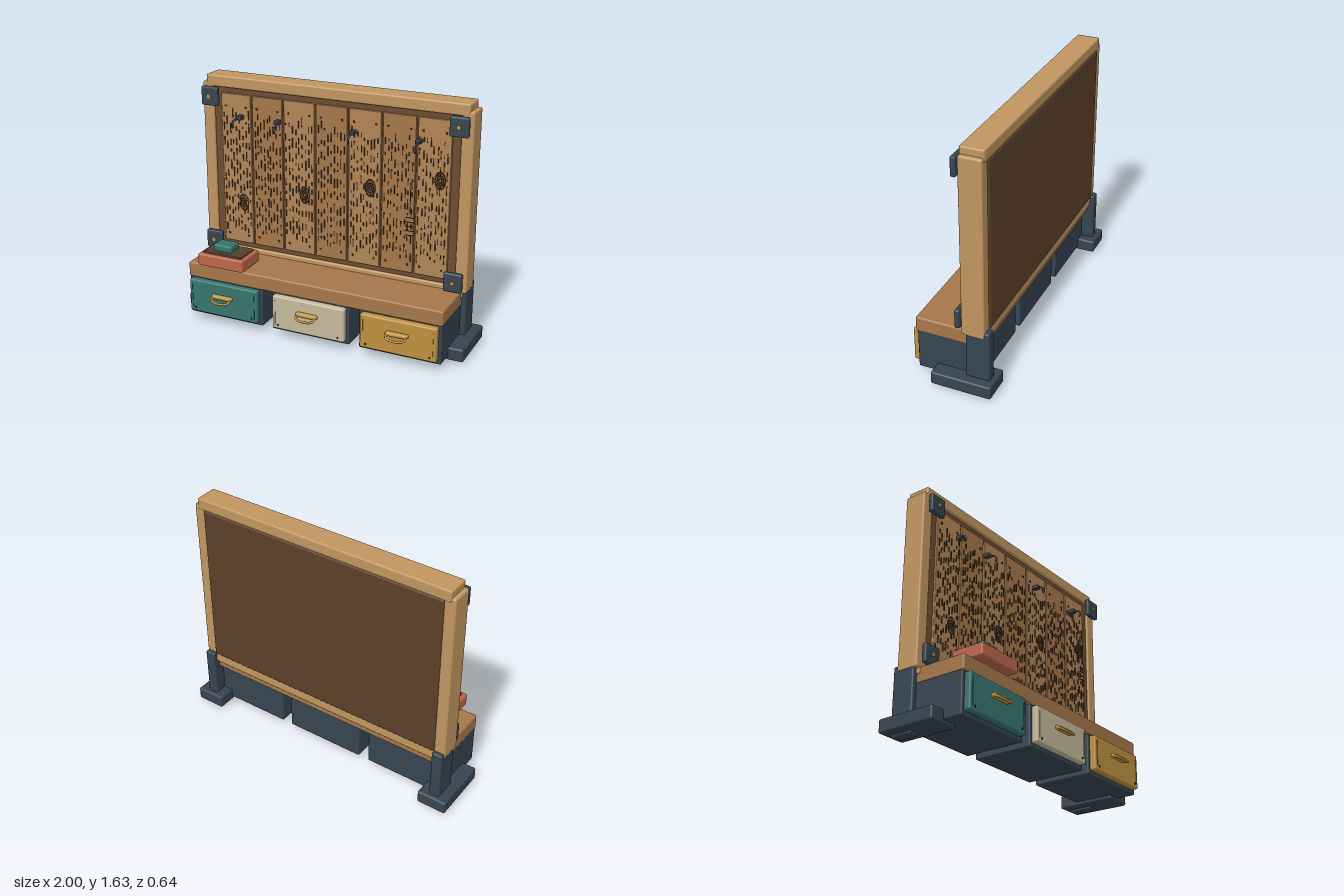
import * as THREE from 'three';
import { mergeGeometries } from 'three/addons/utils/BufferGeometryUtils.js';
import { RoundedBoxGeometry } from 'three/addons/geometries/RoundedBoxGeometry.js';

const mat = (color) => new THREE.MeshStandardMaterial({ color });
const M = {
  oak: mat(0xc0955f), plankA: mat(0xb18455), plankB: mat(0xa5774a), bench: mat(0xa5774a),
  liner: mat(0x6e4b30), back: mat(0x5c4028), mark: mat(0x4a3320), iron: mat(0x364450),
  brass: mat(0xc0933f), teal: mat(0x37756e), cream: mat(0xc4b99b), gold: mat(0xbd9040),
  red: mat(0xbc664b), inlay: mat(0x54402e),
};

function add(parent, name, geometry, material) {
  const mesh = new THREE.Mesh(geometry, material);
  mesh.name = name;
  parent.add(mesh);
  return mesh;
}

// Rounded block given by its limits on each axis
function block(parent, name, [x0, x1], [y0, y1], [z0, z1], material, r = 0.012) {
  const g = new RoundedBoxGeometry(x1 - x0, y1 - y0, z1 - z0, 2, r);
  g.translate((x0 + x1) / 2, (y0 + y1) / 2, (z0 + z1) / 2);
  return add(parent, name, g, material);
}

function tube(points, radius, segments = 16) {
  const curve = new THREE.CatmullRomCurve3(points.map((p) => new THREE.Vector3(...p)));
  return new THREE.TubeGeometry(curve, segments, radius, 8);
}

const thinBox = (w, h, d, x, y, z) => new THREE.BoxGeometry(w, h, d).translate(x, y, z);

function seeded(seed) {
  return () => (seed = (seed * 16807) % 2147483647) / 2147483647;
}

function buildFrame(root) {
  const g = new THREE.Group();
  g.name = 'frame';
  root.add(g);
  const depth = [-0.255, -0.105];
  for (const s of [-1, 1]) {
    const a = s * 0.9;
    block(g, 'post', [a - 0.04, a + 0.04], [0.4, 1.58], depth, M.oak);
  }
  block(g, 'topRail', [-0.912, 0.912], [1.55, 1.628], [-0.26, -0.104], M.oak);
  block(g, 'bottomRail', [-0.912, 0.912], [0.363, 0.442], depth, M.oak);
  block(g, 'backPanel', [-0.87, 0.87], [0.43, 1.56], [-0.266, -0.2], M.back, 0.02);
  block(g, 'liner', [-0.865, 0.865], [0.43, 1.56], [-0.21, -0.122], M.liner, 0.005);
}

function buildPlanks(root) {
  const g = new THREE.Group();
  g.name = 'plankWall';
  root.add(g);
  const rand = seeded(4711), grain = [], pitch = 0.2315;
  for (let i = 0; i < 7; i++) {
    const cx = (i - 3) * pitch;
    block(g, 'plank', [cx - 0.11, cx + 0.11], [0.475, 1.513], [-0.14, -0.108], i % 2 ? M.plankB : M.plankA, 0.005);
    // Broken vertical grain lines
    for (let c = 0; c < 9; c++) {
      let y = 0.55 + rand() * 0.08;
      const x = cx - 0.092 + c * 0.023 + (rand() - 0.5) * 0.008;
      while (y < 1.36) {
        const len = 0.012 + rand() * 0.055;
        grain.push(thinBox(0.006, len, 0.008, x, y + len / 2, -0.106));
        y += len + 0.02 + rand() * 0.06;
      }
    }
    // Nail heads near the plank ends
    for (const dx of [-0.075, 0.075]) for (const y of [0.53, 1.43]) {
      grain.push(thinBox(0.012, 0.012, 0.008, cx + dx, y, -0.106));
    }
  }
  // Knots on every second plank, rising to the right
  [[-0.65, 0.77], [-0.19, 0.89], [0.275, 1.01], [0.74, 1.125]].forEach(([x, y]) => {
    for (const k of [1, 0.62, 0.3]) {
      grain.push(new THREE.TorusGeometry(0.034 * k, 0.0035, 4, 14).scale(1, 1.6, 1).translate(x, y, -0.104));
    }
  });
  // Small ladder of scratch marks standing off the wall
  for (let i = 0; i < 5; i++) grain.push(thinBox(0.056, 0.005, 0.004, 0.593, 0.785 + i * 0.029, 0.018));
  grain.push(thinBox(0.004, 0.2, 0.004, 0.595, 1.03, 0.018));
  add(g, 'grainMarks', mergeGeometries(grain.map((q) => q.toNonIndexed())), M.mark);
}

function buildCornerPlates(root) {
  for (const s of [-1, 1]) for (const y of [0.483, 1.493]) {
    const x = s * 0.862;
    block(root, 'cornerPlate', [x - 0.061, x + 0.061], [y - 0.063, y + 0.063], [-0.086, -0.052], M.iron, 0.01);
    const bolt = add(root, 'cornerBolt', new THREE.CylinderGeometry(0.014, 0.014, 0.012, 12), M.brass);
    bolt.rotation.x = Math.PI / 2;
    bolt.position.set(x, y, -0.05);
  }
}

function buildHooks(root) {
  [[-0.64, -0.022], [-0.365, 0.01], [0.167, -0.002], [0.608, -0.002]].forEach(([x, dx]) => {
    const g = new THREE.Group();
    g.name = 'hook';
    block(g, 'hookPlate', [x - 0.018, x + 0.018], [1.358, 1.387], [-0.087, -0.042], M.iron, 0.005);
    const h = x + dx;
    add(g, 'hookArm', tube([[x + dx * 0.6, 1.365, -0.05], [h, 1.362, -0.025], [h, 1.35, -0.004],
      [h, 1.334, 0.004], [h, 1.321, -0.001], [h, 1.315, -0.008]], 0.0065), M.iron);
    root.add(g);
  });
}

function buildDrawers(root) {
  [[-0.627, M.teal], [0, M.cream], [0.623, M.gold]].forEach(([x, color]) => {
    const g = new THREE.Group();
    g.name = 'drawer';
    g.position.x = x;
    root.add(g);
    block(g, 'drawerBox', [-0.277, 0.277], [0.043, 0.315], [-0.2, 0.208], M.iron, 0.008);
    block(g, 'drawerFront', [-0.257, 0.257], [0.07, 0.303], [0.2, 0.25], color);
    // Worn lines and pins beside the edges
    for (const s of [-1, 1]) {
      add(g, 'edgeLine', thinBox(0.004, 0.17, 0.004, s * 0.235, 0.185, 0.252), color);
      add(g, 'edgePin', thinBox(0.009, 0.012, 0.008, s * 0.215, 0.1, 0.252), M.mark);
    }
    // Pull: rounded mount with a bail swinging forward and down
    block(g, 'handleMount', [-0.076, 0.076], [0.2, 0.228], [0.245, 0.28], M.brass);
    const bail = [];
    for (let i = 0; i <= 8; i++) {
      const a = (Math.PI * i) / 8, f = Math.sqrt(Math.sin(a));
      bail.push([-0.066 * Math.cos(a), 0.213 - 0.024 * f, 0.268 + 0.042 * f]);
    }
    add(g, 'handleBail', tube(bail, 0.008, 28), M.brass);
  });
}

function buildBase(root) {
  block(root, 'benchTop', [-0.905, 0.905], [0.308, 0.41], [-0.235, 0.218], M.bench);
  for (const s of [-1, 1]) {
    const leg = s * 0.9, foot = s * 0.9;
    block(root, 'leg', [leg - 0.036, leg + 0.036], [0, 0.44], [-0.285, -0.13], M.iron);
    block(root, 'foot', [foot - 0.1, foot + 0.1], [0.018, 0.105], [-0.318, 0.08], M.iron);
  }
}

function buildCase(root) {
  const g = new THREE.Group();
  g.name = 'smallCase';
  block(g, 'caseBody', [-0.802, -0.465], [0.422, 0.506], [0.034, 0.264], M.red);
  block(g, 'caseInlay', [-0.775, -0.49], [0.49, 0.519], [0.06, 0.236], M.inlay, 0.005);
  block(g, 'caseTopBlock', [-0.718, -0.582], [0.515, 0.564], [0.094, 0.202], M.teal);
  root.add(g);
}

export function createModel() {
  const root = new THREE.Group();
  root.name = 'wallBench';
  for (const build of [buildFrame, buildPlanks, buildCornerPlates, buildHooks, buildDrawers, buildBase, buildCase]) build(root);
  return root;
}
